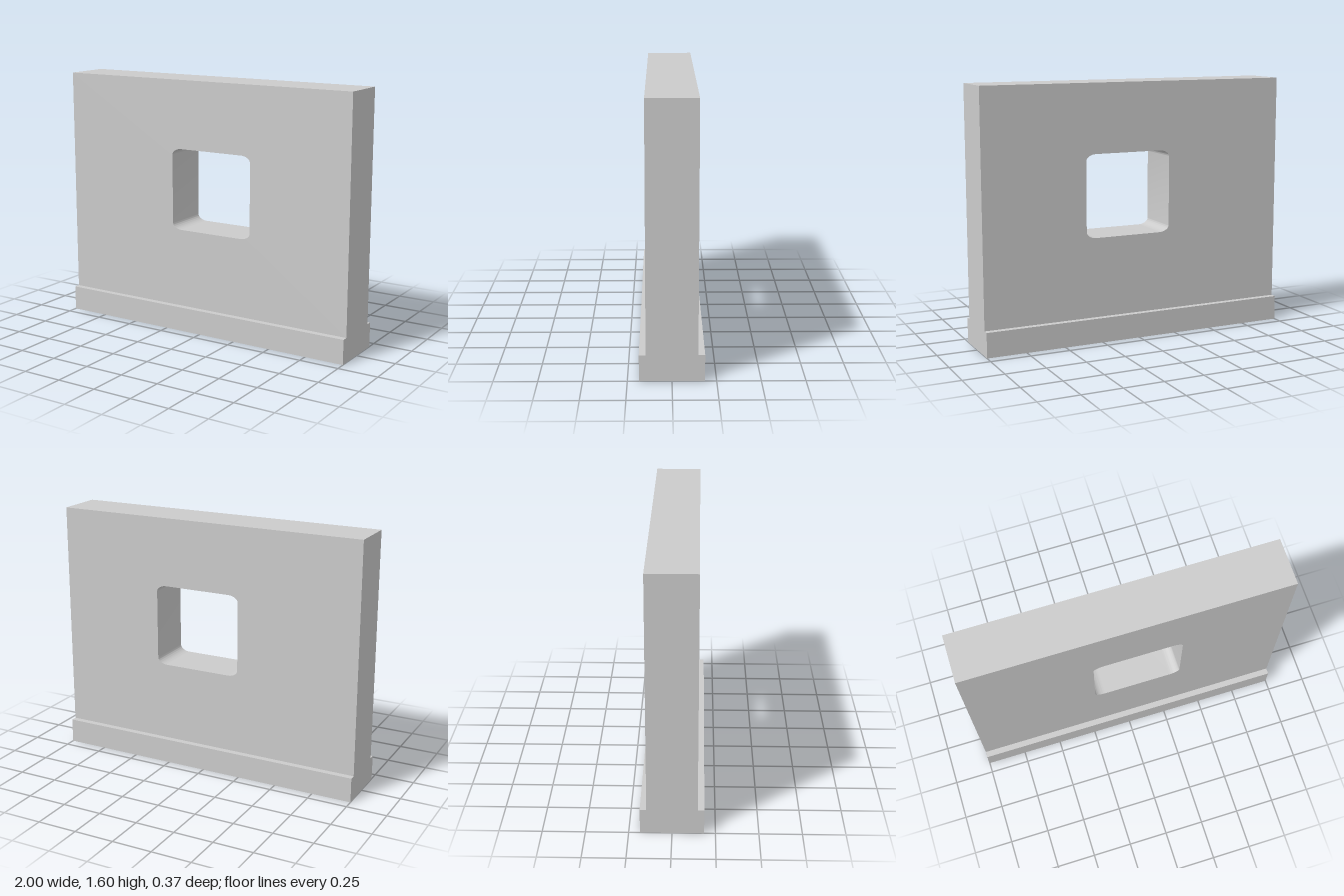
import * as THREE from 'three';
import { toCreasedNormals } from 'three/addons/utils/BufferGeometryUtils.js';

const WIDTH = 2, HEIGHT = 1.595;
const BASE_HEIGHT = 0.155, BASE_DEPTH = 0.37, WALL_DEPTH = 0.294;

// Opening with softly rounded corners, slightly wider than tall
function roundedOpening(x0, x1, y0, y1, rx, ry) {
  const p = new THREE.Path();
  p.moveTo(x0 + rx, y0);
  p.lineTo(x1 - rx, y0);
  p.absellipse(x1 - rx, y0 + ry, rx, ry, -Math.PI / 2, 0, false);
  p.absellipse(x1 - rx, y1 - ry, rx, ry, 0, Math.PI / 2, false);
  p.absellipse(x0 + rx, y1 - ry, rx, ry, Math.PI / 2, Math.PI, false);
  p.absellipse(x0 + rx, y0 + ry, rx, ry, Math.PI, Math.PI * 1.5, false);
  return p;
}

export function createModel() {
  const group = new THREE.Group();
  group.name = 'wallWithWindow';
  const material = new THREE.MeshStandardMaterial({ color: 0xcccccc });

  // Wall slab pierced by the off-centre window
  const outline = new THREE.Shape();
  outline.moveTo(-WIDTH / 2, BASE_HEIGHT);
  outline.lineTo(WIDTH / 2, BASE_HEIGHT);
  outline.lineTo(WIDTH / 2, HEIGHT);
  outline.lineTo(-WIDTH / 2, HEIGHT);
  outline.closePath();
  outline.holes.push(roundedOpening(-0.22, 0.34, 0.652, 1.167, 0.065, 0.042));
  const slab = new THREE.ExtrudeGeometry(outline, {
    depth: WALL_DEPTH, bevelEnabled: false, curveSegments: 10,
  });
  slab.translate(0, 0, -WALL_DEPTH / 2);
  const wall = new THREE.Mesh(toCreasedNormals(slab, Math.PI / 6), material);
  wall.name = 'wall';
  group.add(wall);

  // Plinth projecting on both faces
  const plinth = new THREE.Mesh(new THREE.BoxGeometry(WIDTH, BASE_HEIGHT, BASE_DEPTH), material);
  plinth.name = 'plinth';
  plinth.position.y = BASE_HEIGHT / 2;
  group.add(plinth);

  return group;
}
